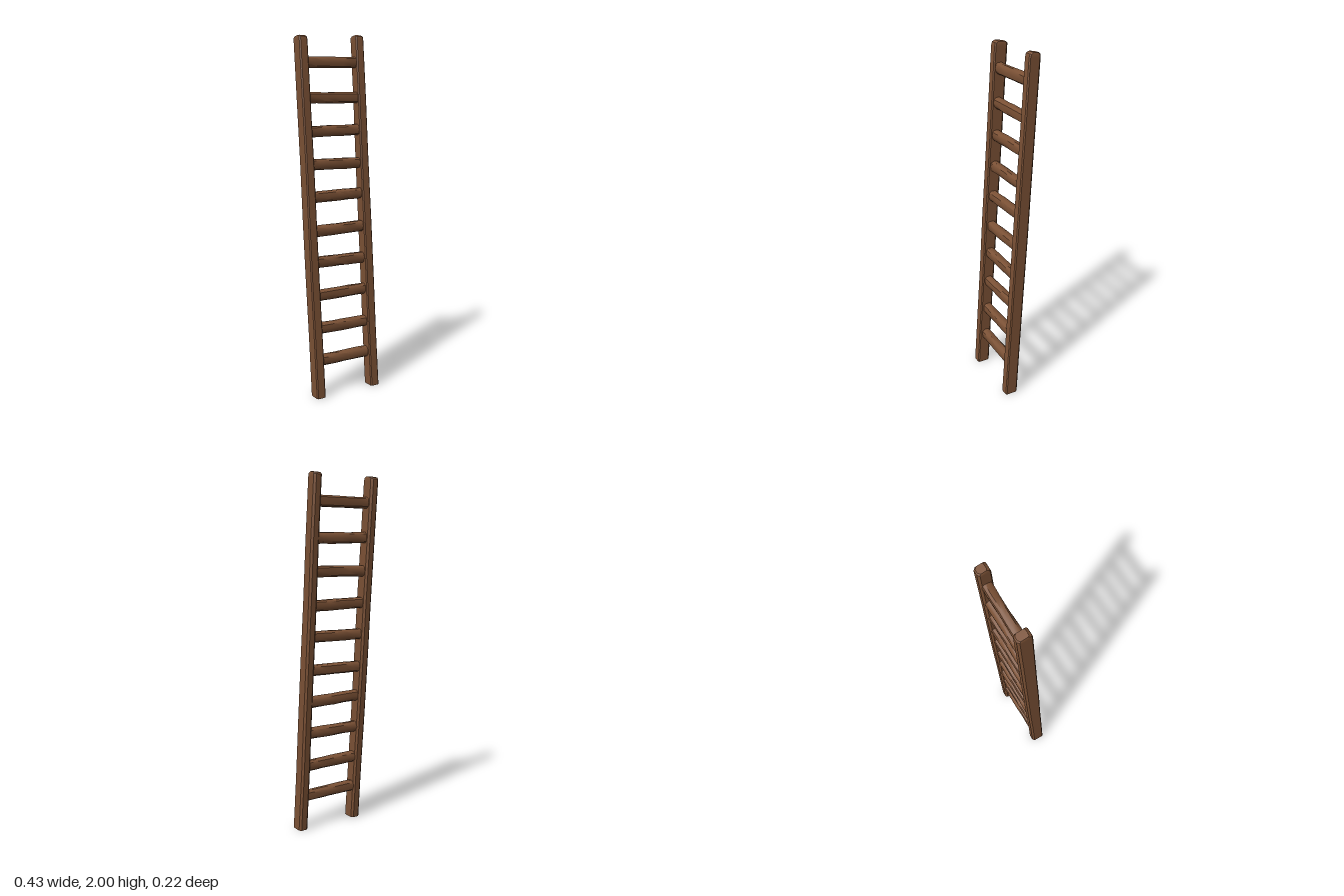
import * as THREE from 'three';
import { toCreasedNormals } from 'three/addons/utils/BufferGeometryUtils.js';

// Small seeded generator for the hand-hewn unevenness, -1..1
function makeRandom(seed) {
  let s = seed;
  return () => {
    s = (s * 16807) % 2147483647;
    return (s / 2147483647) * 2 - 1;
  };
}

// Skin a list of equal-length rings and close both ends
function loft(rings, crease) {
  const n = rings[0].length;
  const pos = [];
  const tri = (a, b, c) => pos.push(...a, ...b, ...c);
  for (let i = 0; i < rings.length - 1; i++) {
    for (let j = 0; j < n; j++) {
      const k = (j + 1) % n;
      const [a, b, c, d] = [rings[i][j], rings[i][k], rings[i + 1][k], rings[i + 1][j]];
      tri(a, b, c);
      tri(a, c, d);
    }
  }
  const first = rings[0], last = rings[rings.length - 1];
  for (let j = 1; j < n - 1; j++) {
    tri(first[0], first[j + 1], first[j]);
    tri(last[0], last[j], last[j + 1]);
  }
  const geometry = new THREE.BufferGeometry();
  geometry.setAttribute('position', new THREE.Float32BufferAttribute(pos, 3));
  return toCreasedNormals(geometry, crease);
}

// Chamfered rectangle at height y, anticlockwise seen from above
function railRing(x0, x1, z0, z1, y, drop = 0) {
  const f = 0.006, b = 0.011;
  return [
    [x0 + f, z1], [x1 - f, z1], [x1, z1 - f], [x1, z0 + b],
    [x1 - b, z0], [x0 + b, z0], [x0, z0 + b], [x0, z1 - f],
  ].map(([x, z]) => [x, y - drop * (z1 - z) / (z1 - z0), z]);
}

// Leaning side rail with a rounded front edge on its top
function railGeometry(bottomX, topX, height, topBack, rnd) {
  const rings = [];
  const steps = 6;
  const end = height - 0.028;
  for (let i = 0; i <= steps; i++) {
    const t = i / steps;
    const w = i > 0 && i < steps ? 0.0015 : 0;
    const mid = THREE.MathUtils.lerp(bottomX, topX, t) + rnd() * w;
    const half = THREE.MathUtils.lerp(0.0275, 0.025, t);
    const back = THREE.MathUtils.lerp(0.034, topBack, t) + rnd() * w;
    const front = THREE.MathUtils.lerp(0.11, -0.031, t) + rnd() * w;
    rings.push(railRing(mid - half, mid + half, back, front, end * t));
  }
  rings.push(railRing(topX - 0.025, topX + 0.025, topBack, -0.036, height - 0.008, 0.008));
  rings.push(railRing(topX - 0.022, topX + 0.022, topBack + 0.006, -0.05, height, 0.008));
  return loft(rings, 0.6);
}

// Rough rounded rung running along x
function rungGeometry(y, z, tilt, rnd) {
  const rings = [];
  const steps = 6, sides = 10, half = 0.175;
  for (let i = 0; i <= steps; i++) {
    const x = -half + (2 * half * i) / steps;
    const ring = [];
    for (let j = 0; j < sides; j++) {
      const a = ((j + 0.5) / sides) * Math.PI * 2;
      const c = Math.cos(a), s = Math.sin(a);
      // Squarish oval section
      const cy = Math.sign(c) * Math.abs(c) ** 0.75 * (0.031 + rnd() * 0.0015);
      const cz = Math.sign(s) * Math.abs(s) ** 0.75 * (0.027 + rnd() * 0.002);
      ring.push([x, y + tilt * x + cy, z + cz]);
    }
    rings.push(ring);
  }
  return loft(rings, 0.7);
}

export function createModel() {
  const ladder = new THREE.Group();
  ladder.name = 'ladder';
  const wood = new THREE.MeshStandardMaterial({ color: 0x7b5135 });
  wood.name = 'brown wood';
  const rnd = makeRandom(71);

  const add = (name, geometry) => {
    const mesh = new THREE.Mesh(geometry, wood);
    mesh.name = name;
    ladder.add(mesh);
  };

  // Side rails, slightly crooked and unequal in length
  add('rightRail', railGeometry(-0.174, -0.193, 1.987, -0.11, rnd));
  add('leftRail', railGeometry(0.188, 0.165, 2, -0.1, rnd));

  // Rungs follow the lean of the rails
  const heights = [0.2, 0.382, 0.57, 0.755, 0.932, 1.12, 1.295, 1.477, 1.657, 1.848];
  heights.forEach((y, i) => {
    add(`rung${i + 1}`, rungGeometry(y, 0.066 - 0.067 * y, rnd() * 0.02, rnd));
  });
  return ladder;
}
